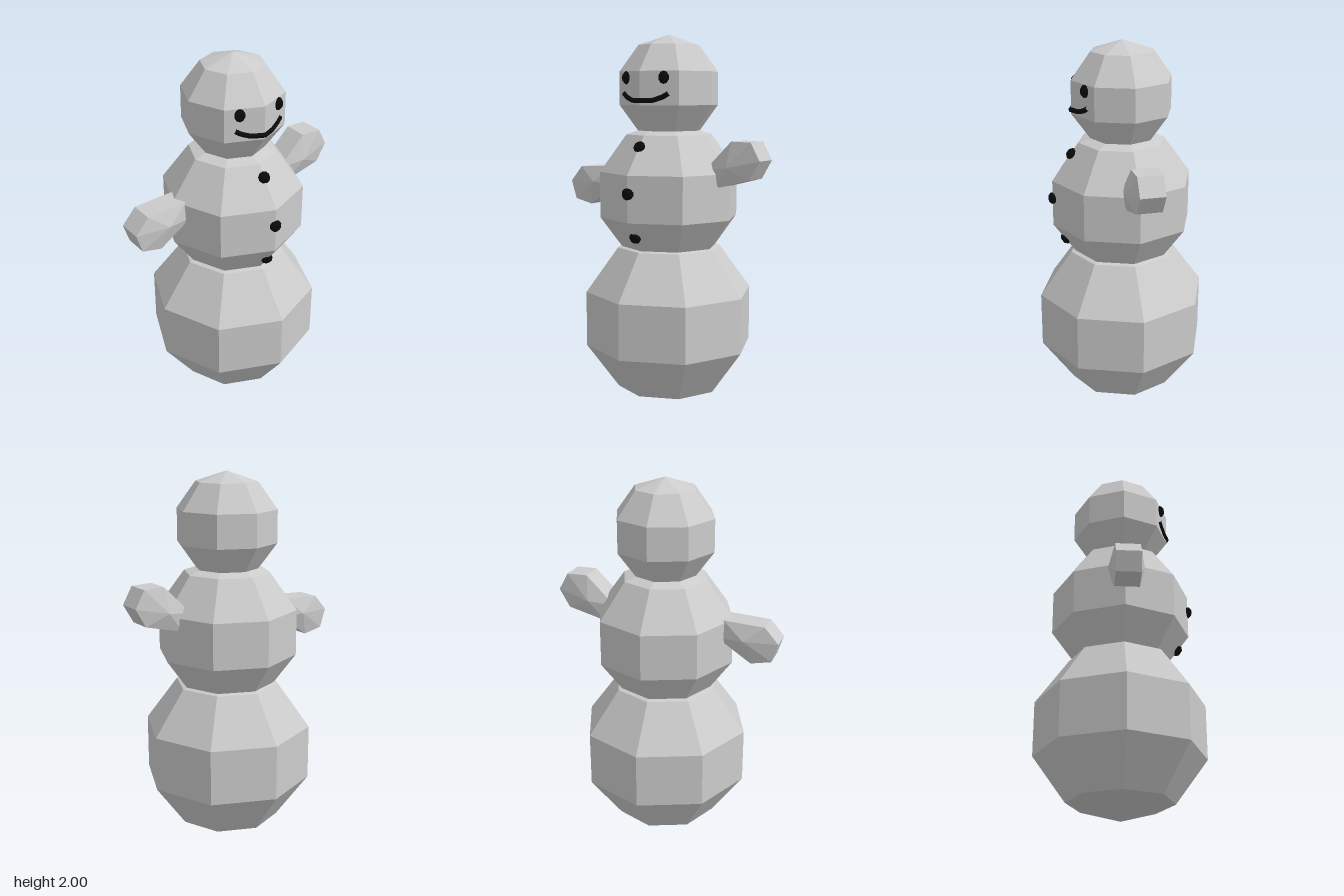
import * as THREE from 'three';

const snow = new THREE.MeshStandardMaterial({ color: 0xcccccc, flatShading: true });
const coal = new THREE.MeshStandardMaterial({ color: 0x0a0a0a, flatShading: true });
const CX = 0.02; // body axis

function add(parent, name, geometry, material, x, y, z) {
  const mesh = new THREE.Mesh(geometry, material);
  mesh.name = name;
  mesh.position.set(x, y, z);
  parent.add(mesh);
  return mesh;
}

// Stubby arm: hexagonal outline with a shallow point on both flat sides; tip edge at the origin
function armGeometry() {
  const outline = [[0, -0.053], [0, 0.053], [-0.097, 0.11], [-0.31, 0.053], [-0.31, -0.053], [-0.097, -0.11]];
  const half = 0.065, pole = [-0.175, 0], poleZ = 0.095;
  const pos = [];
  outline.forEach((a, i) => {
    const b = outline[(i + 1) % outline.length];
    pos.push(...pole, poleZ, ...a, half, ...b, half);
    pos.push(...a, half, ...a, -half, ...b, -half);
    pos.push(...a, half, ...b, -half, ...b, half);
    pos.push(...pole, -poleZ, ...b, -half, ...a, -half);
  });
  const g = new THREE.BufferGeometry();
  g.setAttribute('position', new THREE.Float32BufferAttribute(pos, 3));
  g.computeVertexNormals();
  return g;
}

// Bevelled coal disc facing +z
function coalGeometry() {
  const profile = [[0, -0.012], [0.031, -0.012], [0.031, 0.007], [0.018, 0.02], [0, 0.02]];
  return new THREE.LatheGeometry(profile.map(p => new THREE.Vector2(...p)), 10).rotateX(Math.PI / 2);
}

export function createModel() {
  const model = new THREE.Group();
  model.name = 'snowman';

  // Three stacked balls: name, radius, centre height
  for (const [name, r, y] of [['lowerBall', 0.479, 0.48], ['middleBall', 0.395, 1.157], ['head', 0.281, 1.719]])
    add(model, name, new THREE.SphereGeometry(r, 8, 5), snow, CX, y, 0);

  // Arms: left raised, right lowered
  const arm = armGeometry();
  add(model, 'leftArm', arm, snow, 0.583, 1.403, 0).rotation.z = 0.513;
  add(model, 'rightArm', arm, snow, -0.6, 1.148, 0).rotation.z = Math.PI + 0.315;

  // Buttons, tilted to follow the middle ball: height, depth, tilt
  const disc = coalGeometry();
  for (const [y, z, tilt] of [[1.42, 0.271, -0.628], [1.185, 0.375, 0], [0.95, 0.311, 0.628]])
    add(model, 'button', disc, coal, CX, y, z).rotation.x = tilt;

  // Eyes on the two front facets of the head
  const faceZ = x => 0.267 - 0.414 * Math.abs(x);
  for (const s of [1, -1]) {
    const eye = add(model, s > 0 ? 'leftEye' : 'rightEye', disc, coal, CX + s * 0.117, 1.773, faceZ(0.117));
    eye.rotation.y = s * Math.PI / 8;
    eye.scale.set(0.88, 1.08, 1);
  }

  // Smile bent around the front edge of the head
  const smile = new THREE.CurvePath();
  const pts = [[-0.14, 1.692], [-0.112, 1.674], [-0.065, 1.657], [0, 1.655], [0.065, 1.657], [0.112, 1.674], [0.14, 1.692]]
    .map(([x, y]) => new THREE.Vector3(x, y, faceZ(x)));
  for (let i = 1; i < pts.length; i++) smile.add(new THREE.LineCurve3(pts[i - 1], pts[i]));
  add(model, 'mouth', new THREE.TubeGeometry(smile, 24, 0.014, 6), coal, CX, 0, 0);

  return model;
}
